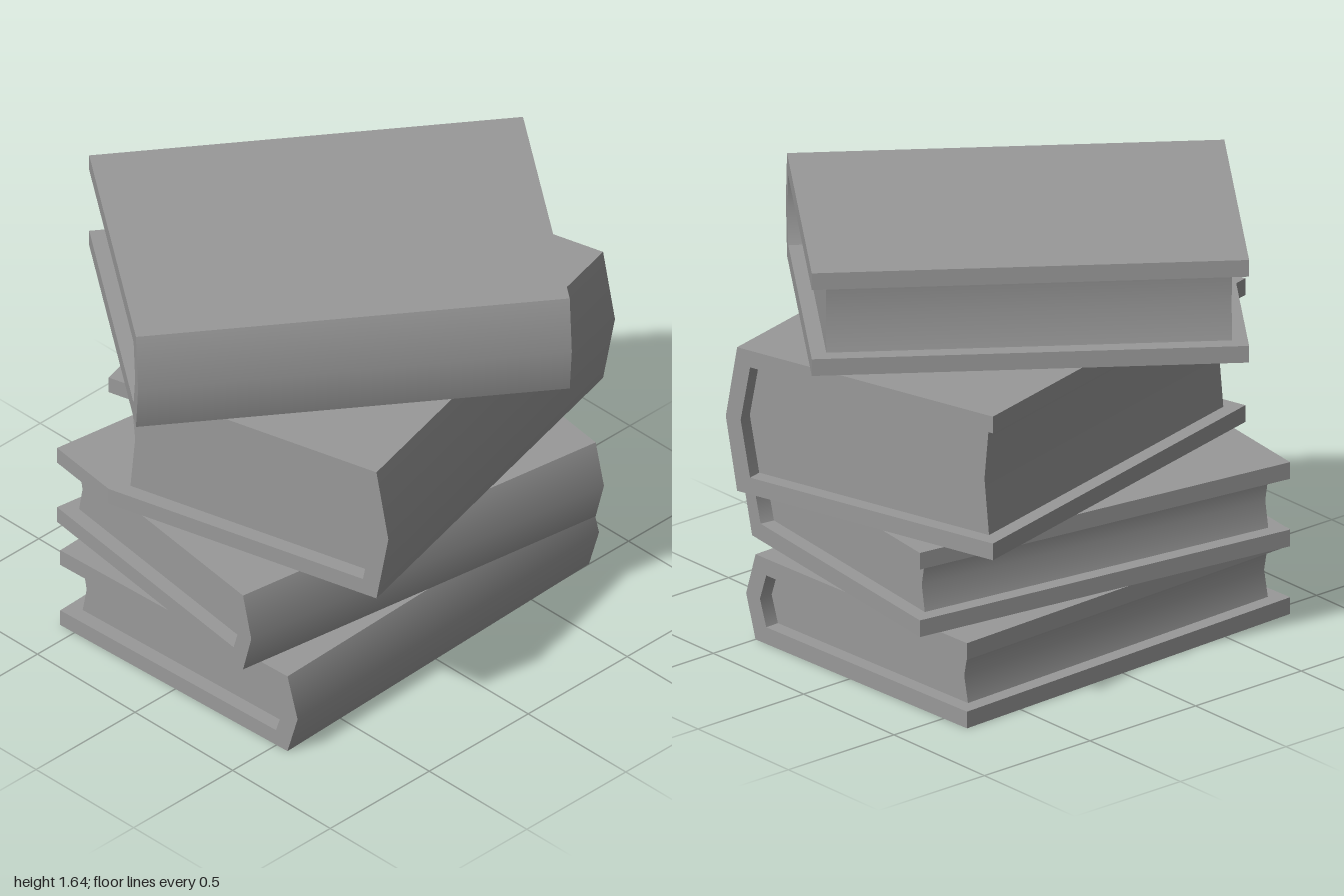
import * as THREE from 'three';
import { toCreasedNormals } from 'three/addons/utils/BufferGeometryUtils.js';

const LENGTH = 1.578;   // along the spine
const DEPTH = 1.125;    // spine to fore-edge
const BOARD = 0.065;    // cover thickness
const WALL = 0.057;     // spine thickness
const BULGE = 0.05;     // how far the spine bows out
const INSET = 0.057;    // pages set back from the cover edges
const HOLLOW = 0.02;    // how far the fore-edge dips in

// Extrude a (z, y) cross-section along x, centred, with only hard corners creased.
function extrudeAlongX(points, length, mid, material) {
  const shape = new THREE.Shape(points.map(([z, y]) => new THREE.Vector2(z, y)));
  let geometry = new THREE.ExtrudeGeometry(shape, { depth: length, bevelEnabled: false });
  geometry.translate(0, 0, -length / 2);
  geometry.rotateY(-Math.PI / 2);
  geometry = toCreasedNormals(geometry, 0.65);

  // Along the middle of the bowed faces the normal points straight out
  const { position, normal } = geometry.attributes;
  for (let i = 0; i < position.count; i++) {
    if (Math.abs(position.getY(i) - mid) < 1e-4 && Math.abs(normal.getX(i)) < 0.5) {
      normal.setXYZ(i, 0, 0, Math.sign(normal.getZ(i)));
    }
  }
  return new THREE.Mesh(geometry, material);
}

// One closed book, spine facing +z, resting on y = 0.
function createBook(height, material) {
  const book = new THREE.Group();
  const back = -DEPTH / 2, spine = DEPTH / 2, mid = height / 2;
  const low = BOARD, high = height - BOARD;
  const inner = spine - WALL;
  const innerBulge = BULGE * (high - low) / height + 0.003;

  // C-shaped cover: two boards joined by a bowed spine
  const cover = extrudeAlongX([
    [back, 0], [spine, 0], [spine + BULGE, mid], [spine, height], [back, height],
    [back, high], [inner, high], [inner + innerBulge, mid], [inner, low], [back, low],
  ], LENGTH, mid, material);
  cover.name = 'cover';

  // Page block: follows the spine in front, dips in at the fore-edge
  const edge = back + INSET;
  const pages = extrudeAlongX([
    [edge, low], [inner, low], [inner + innerBulge, mid], [inner, high],
    [edge, high], [edge + HOLLOW, mid],
  ], LENGTH - 2 * INSET, mid, material);
  pages.name = 'pages';

  book.add(cover, pages);
  return book;
}

export function createModel() {
  const stack = new THREE.Group();
  stack.name = 'bookStack';
  const material = new THREE.MeshStandardMaterial({ color: 0x999999 });

  // Books from bottom to top, each turned a little differently
  const books = [
    { name: 'bottomBook', y: 0, height: 0.332, x: -0.008, z: -0.035, turn: 2 },
    { name: 'secondBook', y: 0.335, height: 0.328, x: -0.003, z: -0.031, turn: -8.1 },
    { name: 'thickBook', y: 0.669, height: 0.56, x: 0.086, z: 0.03, turn: 14.3 },
    { name: 'topBook', y: 1.236, height: 0.4, x: 0.002, z: -0.02, turn: -36 },
  ];
  for (const { name, y, height, x, z, turn } of books) {
    const book = createBook(height, material);
    book.name = name;
    book.position.set(x, y, z);
    book.rotation.y = THREE.MathUtils.degToRad(turn);
    stack.add(book);
  }
  return stack;
}
